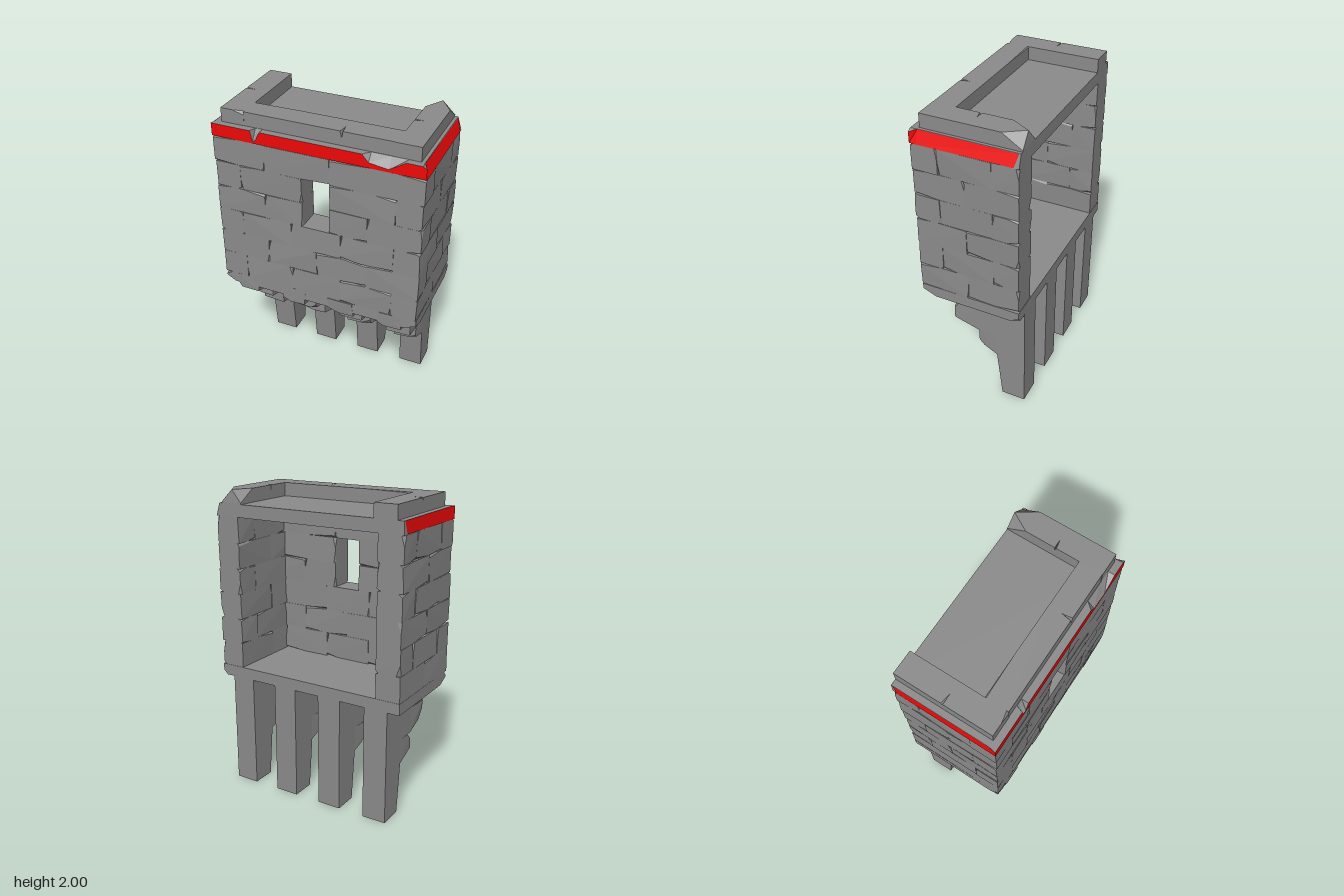
import * as THREE from 'three';
import { ConvexGeometry } from 'three/addons/geometries/ConvexGeometry.js';
import { mergeGeometries } from 'three/addons/utils/BufferGeometryUtils.js';

const stone = new THREE.MeshStandardMaterial({ color: 0x8b8b8b, flatShading: true });
const stoneThin = new THREE.MeshStandardMaterial({ color: 0x8b8b8b, flatShading: true, side: THREE.DoubleSide });
const red = new THREE.MeshStandardMaterial({ color: 0xf00808, flatShading: true, side: THREE.DoubleSide });

// Seeded random numbers for the weathering
let seed = 11;
const rand = (a = 0, b = 1) => {
  seed = (seed * 16807) % 2147483647;
  return a + (b - a) * (seed / 2147483647);
};

// Box with some corners broken off. Corner bits: 1 = +x, 2 = +y, 4 = +z.
// chips maps a corner to the broken lengths [x, y, z]; bend moves a corner.
function block(x, y, z, chips = {}, bend = null) {
  const corners = [];
  for (let i = 0; i < 8; i++) {
    const p = new THREE.Vector3(x[i & 1], y[(i >> 1) & 1], z[(i >> 2) & 1]);
    if (bend) bend(p, i);
    corners.push(p);
  }
  const points = [];
  corners.forEach((p, i) => {
    if (!chips[i]) return points.push(p);
    chips[i].forEach((d, axis) => {
      const q = corners[i ^ (1 << axis)];
      points.push(p.clone().lerp(q, Math.min(0.48, d / p.distanceTo(q))));
    });
  });
  return new ConvexGeometry(points);
}

// Wall stone: uneven faces, long thin splinters along the joints; depth is the wall's thin axis
function wallStone(x, y, z, depth) {
  const chips = {};
  for (let i = 0; i < 8; i++) {
    if (rand() > 0.45) continue;
    const upright = rand() < 0.35;
    const along = upright ? rand(0.008, 0.02) : rand(0.08, 0.28);
    const height = upright ? rand(0.06, 0.08) : rand(0.008, 0.02);
    const deep = rand(0.012, 0.03);
    chips[i] = depth === 'x' ? [deep, height, along] : [along, height, deep];
  }
  return block(x, y, z, chips, (p) => { p[depth] += rand(-0.005, 0.004); });
}

// Ribbon of quads between two rows of points
function ribbon(a, b) {
  const g = new THREE.BufferGeometry();
  g.setAttribute('position', new THREE.Float32BufferAttribute([...a, ...b].flat(), 3));
  const index = [];
  for (let i = 0, n = a.length; i < n - 1; i++) {
    index.push(i, n + i, i + 1, i + 1, n + i, n + i + 1);
  }
  g.setIndex(index);
  g.computeVertexNormals();
  return g;
}

export function createModel() {
  const group = new THREE.Group();
  const add = (name, geometry, material = stone) => {
    const mesh = new THREE.Mesh(geometry, material);
    mesh.name = name;
    group.add(mesh);
  };

  // Walls: six courses, corner stones alternating between front and sides
  const H = 1 / 6;
  const courses = [
    [[-0.5, -0.17, 0.16, 0.5]],
    [[-0.667, -0.33, 0, 0.33, 0.667]],
    [[-0.5, -0.17, 0.16, 0.5]],
    [[-0.667, -0.34, -0.09], [0.09, 0.33, 0.667]],
    [[-0.5, -0.09], [0.09, 0.5]],
    [[-0.667, -0.33, 0.09, 0.667]],
  ];
  const front = [], left = [], right = [];
  courses.forEach((runs, c) => {
    const y = [0.83 + c * H, 0.83 + (c + 1) * H];
    for (const run of runs) {
      for (let i = 0; i < run.length - 1; i++) {
        front.push(wallStone([run[i], run[i + 1]], y, [0.165, 0.33], 'z'));
      }
    }
    const zs = c % 2 ? [-0.333, -0.17, 0.165] : [-0.333, 0, 0.33];
    for (let i = 0; i < 2; i++) {
      left.push(wallStone([0.5, 0.664], y, [zs[i], zs[i + 1]], 'x'));
      right.push(wallStone([-0.664, -0.5], y, [zs[i], zs[i + 1]], 'x'));
    }
  });
  add('frontWall', mergeGeometries(front));
  add('leftWall', mergeGeometries(left));
  add('rightWall', mergeGeometries(right));

  // Floor slab with broken lower corners
  add('floor', block([-0.667, 0.667], [0.755, 0.83], [-0.335, 0.326], {
    4: [0.06, 0.05, 0.08], 5: [0.08, 0.07, 0.09], 1: [0.03, 0.03, 0.06], 6: [0.05, 0.03, 0.03],
  }));

  // Stepped brackets: a tapered foot, then corbel stones each resting on the step below
  const steps = [[0.335, 0.5, -0.14, 0], [0.5, 0.67, -0.01, 0.16], [0.67, 0.828, 0.15, 0.333]];
  [-0.505, -0.17, 0.165, 0.5].forEach((cx) => {
    const x = [cx - 0.08, cx + 0.08];
    const parts = [block(x, [0, 0.335], [-0.335, -0.14], {}, (p, i) => {
      if (i === 4 || i === 5) p.z = -0.175;
    })];
    steps.forEach(([y0, y1, z0, z1], k) => {
      parts.push(block(x, [y0, y1], [-0.335, z0]));
      // The underside rises and the sides vary towards the front
      const broken = k < 2 ? 4 + Math.floor(rand(0, 4)) : 4;
      const chips = { [broken]: [rand(0.03, 0.07), rand(0.02, 0.05), rand(0.03, 0.07)] };
      parts.push(block(x, [y0, y1], [z0, z1], chips, (p, i) => {
        if (i === 4 || i === 5) p.y += 0.05 + rand(-0.012, 0.012);
        if (i & 4) {
          p.x += rand(-0.012, 0.008);
          p.z += rand(-0.012, 0);
        }
      }));
    });
    add('bracket', mergeGeometries(parts));
  });

  // Roof slab, sloping at its front edge
  add('roof', block([-0.666, 0.666], [1.83, 1.912], [-0.335, 0.325], {}, (p, i) => {
    if (i & 2) {
      p.x = i & 1 ? 0.64 : -0.662;
      if (i & 4) p.z = 0.29;
    }
  }));

  // Front edge of the roof: grey ledge above, red band below, with two chips
  const stations = [[-0.67, 0], [-0.41, 0], [-0.395, 0.068], [-0.375, 0.055], [-0.35, 0], [0.29, 0],
    [0.33, 0.045], [0.45, 0.062], [0.55, 0], [0.645, 0], [0.668, 0.015]];
  const top = stations.map(([x]) => [THREE.MathUtils.clamp(x, -0.662, 0.64), 1.912, 0.29]);
  const lip = stations.map(([x, c]) => [x, 1.912 - c, 0.334]);
  const base = stations.map(([x]) => [x, 1.833, 0.334]);
  add('roofLedge', ribbon(top, lip), stoneThin);
  add('frontBand', ribbon(lip, base), red);

  // Side bands lean inwards towards the roof
  add('leftBand', ribbon(
    [[0.668, 1.897, 0.334], [0.643, 1.912, 0.29], [0.643, 1.91, -0.325]],
    [[0.668, 1.83, 0.334], [0.67, 1.83, 0.29], [0.669, 1.835, -0.305]]), red);
  add('rightBand', ribbon(
    [[-0.664, 1.912, -0.325], [-0.664, 1.912, 0.29], [-0.67, 1.912, 0.334]],
    [[-0.669, 1.835, -0.305], [-0.669, 1.83, 0.29], [-0.67, 1.83, 0.334]]), red);

  // Parapet stones on three sides
  const py = [1.905, 2];
  add('frontParapet', mergeGeometries([
    block([-0.47, 0.15], py, [0.14, 0.288], { 2: [0.3, 0.006, 0.008], 7: [0.01, 0.07, 0.08] }),
    block([0.15, 0.47], py, [0.14, 0.288], { 6: [0.008, 0.04, 0.05] }),
  ]));
  add('rightParapet', mergeGeometries([
    block([-0.622, -0.47], py, [-0.02, 0.29], { 7: [0.14, 0.02, 0.015] }),
    block([-0.622, -0.47], py, [-0.335, -0.02], { 6: [0.07, 0.02, 0.012] }),
  ]));
  const peak = [0.47, 0.62].flatMap((x) => [
    [x, 1.905, -0.335], [x, 1.905, -0.02], [x, 2, -0.02], [x, 2, -0.21], [x, 1.92, -0.335]]);
  peak.push([0.54, 2, -0.33]);
  add('leftParapet', mergeGeometries([
    block([0.47, 0.62], py, [-0.02, 0.29], { 2: [0.06, 0.03, 0.012] }),
    new ConvexGeometry(peak.map((p) => new THREE.Vector3(...p))),
  ]));

  return group;
}
